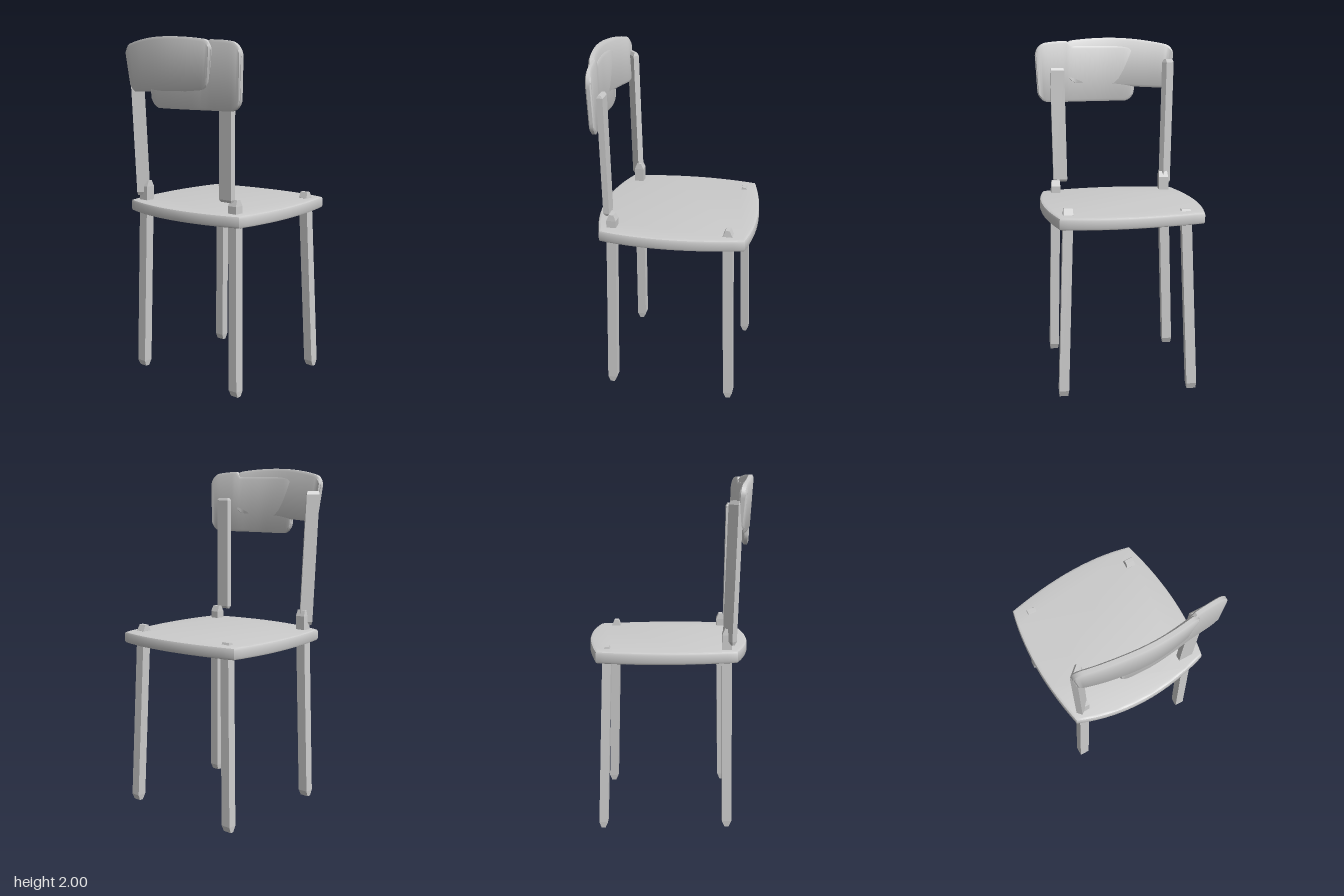
import * as THREE from 'three';
import { toCreasedNormals } from 'three/addons/utils/BufferGeometryUtils.js';

const material = new THREE.MeshStandardMaterial({ color: 0xcccccc });
const flatMaterial = new THREE.MeshStandardMaterial({ color: 0xcccccc, flatShading: true });

// Leaning bar from bottom point to top point, with narrowed ends
function bar(name, bottom, top, w, d, yaw = 0, cut = 0.035) {
  const geo = new THREE.BoxGeometry(w, 1, d, 1, 3, 1);
  const pos = geo.attributes.position;
  const a = new THREE.Vector3(...bottom), b = new THREE.Vector3(...top);
  const p = new THREE.Vector3(), c = new THREE.Vector3();
  const f = cut / (b.y - a.y);
  const rows = [0, f, 1 - f, 1];
  for (let i = 0; i < pos.count; i++) {
    p.fromBufferAttribute(pos, i);
    const row = Math.round((p.y + 0.5) * 3);
    const end = row === 0 || row === 3;
    p.set(p.x * (end ? 0.88 : 1), 0, p.z * (end ? 0.45 : 1));
    p.applyAxisAngle(THREE.Object3D.DEFAULT_UP, yaw);
    p.add(c.lerpVectors(a, b, rows[row]));
    pos.setXYZ(i, p.x, p.y, p.z);
  }
  geo.computeVertexNormals();
  const mesh = new THREE.Mesh(geo, flatMaterial);
  mesh.name = name;
  return mesh;
}

// Curved board with rounded corners and softened rim
// o: x0, x1, r (corner radius), thick, slant (side lean), lean (z per y), top(x), bottom(x), depth points
function board(name, o) {
  const n = 32, rim = 0.015;
  const geo = new THREE.BoxGeometry(1, 1, 1, n, 3, 1);
  const pos = geo.attributes.position;
  const arc = new THREE.SplineCurve(o.depth.map(q => new THREE.Vector2(...q))).getPoints(80);
  const depthAt = x => {
    let k = 1;
    while (k < arc.length - 1 && arc[k].x < x) k++;
    const t = (x - arc[k - 1].x) / (arc[k].x - arc[k - 1].x);
    return THREE.MathUtils.lerp(arc[k - 1].y, arc[k].y, t);
  };
  const mid = (o.x0 + o.x1) / 2, half = (o.x1 - o.x0) / 2;
  for (let i = 0; i < pos.count; i++) {
    // Columns crowd toward both ends so the corners stay round
    const x = mid + half * Math.sin(pos.getX(i) * Math.PI);
    const e = Math.max(0, o.r - (half - Math.abs(x - mid)));
    const inset = o.r - Math.sqrt(Math.max(0, o.r * o.r - e * e));
    const row = Math.round((pos.getY(i) + 0.5) * 3);
    const lo = o.bottom(x) + inset, hi = o.top(x) - inset;
    const y = [lo, lo + rim, hi - rim, hi][row];
    const edge = row === 0 || row === 3 || half - Math.abs(x - mid) < 0.002;
    const side = (x - mid) / half;
    const nx = x + side * o.slant * (y - hi);
    const z = depthAt(x) + o.lean * (y - 1.83) + Math.sign(pos.getZ(i)) * o.thick * (edge ? 0.28 : 0.5);
    pos.setXYZ(i, nx, y, z);
  }
  geo.computeVertexNormals();
  const mesh = new THREE.Mesh(toCreasedNormals(geo, 0.6), material);
  mesh.name = name;
  return mesh;
}

function seat() {
  const s = new THREE.Shape();
  s.moveTo(-0.43, -0.4);
  s.quadraticCurveTo(0.05, -0.525, 0.39, -0.445);
  s.quadraticCurveTo(0.51, 0, 0.43, 0.375);
  s.quadraticCurveTo(-0.02, 0.53, -0.405, 0.385);
  s.quadraticCurveTo(-0.505, -0.04, -0.43, -0.4);
  const b = 0.014;
  const geo = new THREE.ExtrudeGeometry(s, {
    depth: 0.068 - 2 * b, curveSegments: 14,
    bevelThickness: b, bevelSize: b, bevelOffset: -b, bevelSegments: 2,
  });
  geo.rotateX(Math.PI / 2).translate(0, 1.054 - b, 0);
  const mesh = new THREE.Mesh(toCreasedNormals(geo, 0.5), material);
  mesh.name = 'seat';
  return mesh;
}

export function createModel() {
  const chair = new THREE.Group();
  chair.name = 'chair';
  chair.add(seat());

  // Legs, poking slightly through the seat
  chair.add(
    bar('legBackrestRight', [-0.37, 0.015, 0.336], [-0.333, 1.17, 0.325], 0.06, 0.055),
    bar('legBackrestLeft', [0.375, 0.015, 0.336], [0.35, 1.13, 0.315], 0.056, 0.055),
    bar('legOpenRight', [-0.37, 0, -0.375], [-0.33, 1.066, -0.343], 0.058, 0.05),
    bar('legOpenLeft', [0.375, 0, -0.375], [0.334, 1.09, -0.343], 0.056, 0.055),
  );

  // Posts holding the backrest
  chair.add(
    bar('postRight', [-0.346, 1.08, 0.34], [-0.367, 1.87, 0.362], 0.075, 0.036, 0.75, 0.02),
    bar('postLeft', [0.318, 1.115, 0.347], [0.328, 1.82, 0.357], 0.086, 0.034, 0, 0.015),
  );

  // Two overlapping curved boards
  chair.add(
    board('backrestBoard', {
      x0: -0.405, x1: 0.28, r: 0.05, thick: 0.04, slant: 0.13, lean: 0.06,
      top: x => 2.0 - 0.27 * (x + 0.01) ** 2 - (x > 0 ? 0 : 0.05 * x * x),
      bottom: x => 1.69 + 0.035 * (x + 0.4),
      depth: [[-0.42, 0.388], [-0.25, 0.425], [-0.05, 0.447], [0.12, 0.44], [0.3, 0.41]],
    }),
    board('backrestOverlapBoard', {
      x0: -0.172, x1: 0.46, r: 0.065, thick: 0.032, slant: 0.05, lean: 0.03,
      top: x => (x < 0.26 ? 1.95 : 1.982 - 0.55 * (x - 0.26) ** 2),
      bottom: () => 1.61,
      depth: [[-0.2, 0.436], [0, 0.44], [0.15, 0.425], [0.28, 0.405], [0.48, 0.384]],
    }),
  );
  return chair;
}
